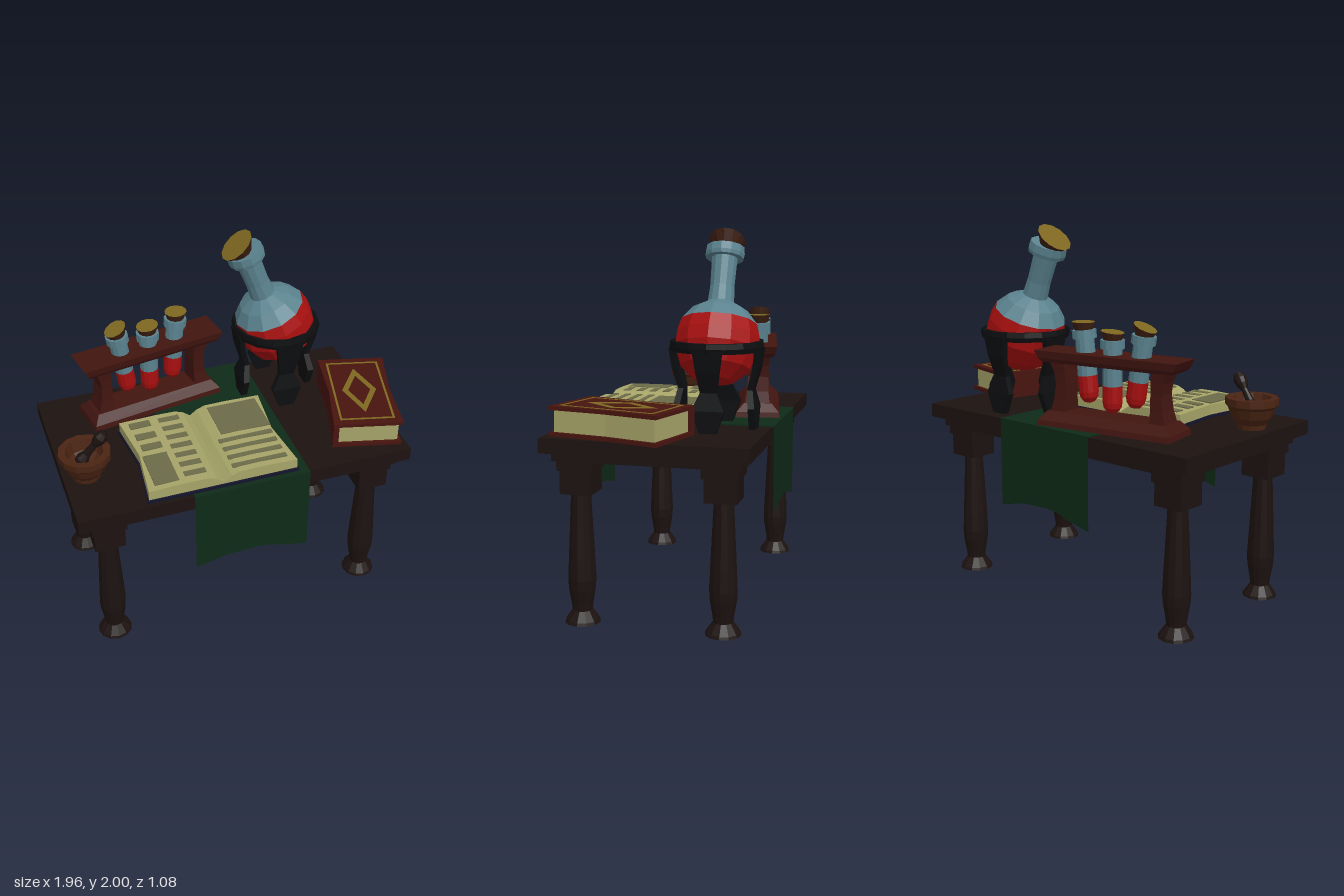
import * as THREE from 'three';

const mat = (color, side = THREE.FrontSide) => new THREE.MeshStandardMaterial({ color, flatShading: true, side });
const wood = mat(0x1c1210), maroon = mat(0x48140f), rackWood = mat(0x421510), iron = mat(0x0d0e10);
const glass = mat(0x5a828e), red = mat(0xa80f0f), page = mat(0xa6a468), ink = mat(0x6b6a48);
const navy = mat(0x14142c), gold = mat(0x7d6720), corkSide = mat(0x3d1f12), clay = mat(0x4a2413);
const cloth = mat(0x0e2a17, THREE.DoubleSide);

function add(parent, name, geo, material, x = 0, y = 0, z = 0) {
  const m = new THREE.Mesh(geo, material);
  m.name = name;
  m.position.set(x, y, z);
  parent.add(m);
  return m;
}

function group(parent, name, x = 0, y = 0, z = 0) {
  const g = new THREE.Group();
  g.name = name;
  g.position.set(x, y, z);
  parent.add(g);
  return g;
}

const lathe = (pts, seg) => new THREE.LatheGeometry(pts.map(([r, y]) => new THREE.Vector2(r, y)), seg);
const box = (w, h, d) => new THREE.BoxGeometry(w, h, d);

// Moves every vertex of a geometry by a rule
function warp(geo, rule) {
  const p = geo.attributes.position, v = new THREE.Vector3();
  for (let i = 0; i < p.count; i++) {
    rule(v.fromBufferAttribute(p, i));
    p.setXYZ(i, v.x, v.y, v.z);
  }
  geo.computeVertexNormals();
  return geo;
}

// Four-sided column through rows of [y, centreX, centreZ, width, depth]
function stack(rows) {
  const n = rows.length - 1;
  return warp(new THREE.BoxGeometry(1, 1, 1, 1, n, 1), v => {
    const [y, cx, cz, w, d] = rows[Math.round((v.y + 0.5) * n)];
    v.set(cx + v.x * w, y, cz + v.z * d);
  });
}

// Slab whose left and right edges are drawn in at the middle
function pinched(w, h, d, pinch) {
  return warp(new THREE.BoxGeometry(w, h, d, 1, 1, 2), v => {
    if (Math.abs(v.z) < 0.01) v.x -= Math.sign(v.x) * pinch;
  });
}

// Flat frame lying in the xz plane, from an outline and a smaller copy
function frame(pts, inner) {
  const vec = list => list.map(([x, y]) => new THREE.Vector2(x, y));
  const s = new THREE.Shape(vec(pts));
  s.holes.push(new THREE.Path(vec(inner)));
  return new THREE.ExtrudeGeometry(s, { depth: 0.004, bevelEnabled: false }).rotateX(-Math.PI / 2);
}

// Stopper with a slanted top
function cork(rTop, rBottom, h, skew) {
  return warp(new THREE.CylinderGeometry(rTop, rBottom, h, 12).translate(0, h / 2, 0), v => {
    if (v.y > h / 2) v.y += skew * v.x;
  });
}

function buildTable(root) {
  const table = group(root, 'table', -0.055);
  add(table, 'tableTop', box(1.83, 0.075, 1.06), wood, 0, 0.943, 0);
  add(table, 'tableApron', box(1.71, 0.05, 0.97), wood, 0, 0.882, 0);
  const legProfile = [[0, 0], [0.093, 0], [0.088, 0.015], [0.052, 0.065], [0.056, 0.1], [0.07, 0.18],
    [0.073, 0.23], [0.068, 0.34], [0.05, 0.7]];
  for (const sx of [-1, 1]) for (const sz of [-1, 1]) {
    const leg = group(table, 'tableLeg', sx * 0.747, 0, sz * 0.37);
    add(leg, 'turnedLeg', lathe(legProfile, 12), wood);
    add(leg, 'legBlock', box(0.165, 0.15, 0.165), wood, 0, 0.76, 0);
    add(leg, 'legCollar', box(0.188, 0.06, 0.188), wood, 0, 0.836, 0);
  }
}

function buildCloth(root) {
  const runner = group(root, 'clothRunner', -0.047);
  add(runner, 'clothTop', box(0.635, 0.007, 1.084), cloth, 0, 0.984, 0);
  const hem = [[-0.3175, 0.49], [-0.15, 0.53], [0.02, 0.537], [0.1, 0.53], [0.16, 0.508], [0.3175, 0.475]];
  for (const s of [1, -1]) {
    const lift = s < 0 ? 0.015 : 0;
    const outline = [...hem.map(([x, y]) => [x, y + lift]), [0.3175, 0.986], [-0.3175, 0.986]];
    const geo = new THREE.ShapeGeometry(new THREE.Shape(outline.map(([x, y]) => new THREE.Vector2(x, y))));
    add(runner, 'clothHang', geo, cloth, 0, 0, s * 0.541).rotation.y = s < 0 ? Math.PI : 0;
  }
}

function buildRack(root) {
  const rack = group(root, 'tubeRack', -0.35, 0, -0.34);
  rack.rotation.y = 0.175;
  add(rack, 'rackPlank', stack([[1.315, 0, 0, 0.76, 0.16], [1.335, 0, 0, 0.79, 0.185], [1.375, 0, 0, 0.83, 0.2]]), rackWood);
  add(rack, 'rackBase', stack([[0.986, 0, 0, 0.78, 0.24], [1.015, 0, 0, 0.77, 0.23], [1.06, 0, 0, 0.7, 0.15]]), rackWood);
  for (const s of [-1, 1]) {
    add(rack, 'rackPost', stack([[1.05, s * 0.295, 0, 0.09, 0.13], [1.12, s * 0.285, 0, 0.07, 0.115],
      [1.2, s * 0.28, 0, 0.06, 0.11], [1.26, s * 0.285, 0, 0.065, 0.115], [1.32, s * 0.3, 0, 0.085, 0.13]]), rackWood);
  }
  // Tubes: x, bottom y, tilt, cork slant
  for (const [x, y, tilt, skew] of [[-0.13, 1.11, 0.14, 0.3], [0.0, 1.07, 0, 0.13], [0.137, 1.11, -0.09, 0.1]]) {
    const tube = group(rack, 'testTube', x, y, 0);
    tube.rotation.z = tilt;
    add(tube, 'tubeLiquid', lathe([[0, 0], [0.028, 0.009], [0.046, 0.032], [0.051, 0.06], [0.051, 0.145]], 12), red);
    add(tube, 'tubeGlass', lathe([[0.051, 0.145], [0.049, 0.335], [0.063, 0.335], [0.063, 0.38], [0, 0.38]], 12), glass);
    add(tube, 'tubeCork', cork(0.061, 0.046, 0.045, skew), [corkSide, gold, corkSide], 0, 0.375, 0);
  }
}

function buildFlask(root) {
  const flask = group(root, 'flask', 0.36, 1.42, -0.257);
  flask.rotation.z = 0.37;
  add(flask, 'flaskLiquid', lathe([[0, -0.222], [0.1, -0.198], [0.18, -0.13], [0.219, -0.03], [0.216, 0.04], [0.198, 0.105]], 12), red);
  add(flask, 'flaskGlass', lathe([[0.198, 0.105], [0.145, 0.172], [0.07, 0.215], [0.064, 0.3], [0.068, 0.455],
    [0.1, 0.455], [0.104, 0.475], [0.1, 0.515], [0, 0.515]], 12), glass);
  add(flask, 'flaskCork', cork(0.095, 0.065, 0.055, 0.36), [corkSide, gold, corkSide], -0.025, 0.508, 0);

  const stand = group(root, 'flaskStand', 0.365, 0, -0.257);
  add(stand, 'standRing', lathe([[0.21, 1.385], [0.236, 1.385], [0.244, 1.41], [0.24, 1.437], [0.21, 1.437], [0.21, 1.385]], 16), iron);
  const rows = [[0.988, 0, 0.195, 0.085, 0.035], [1.1, 0, 0.195, 0.17, 0.035], [1.19, 0, 0.18, 0.085, 0.03],
    [1.3, 0, 0.21, 0.12, 0.03], [1.4, 0, 0.222, 0.15, 0.03]];
  for (let i = 0; i < 4; i++) add(stand, 'standLeg', stack(rows), iron).rotation.y = i * Math.PI / 2;
}

function buildMortar(root) {
  const mortar = group(root, 'mortarAndPestle', -0.845, 0.982, 0.18);
  add(mortar, 'mortarBowl', lathe([[0, 0], [0.075, 0], [0.078, 0.025], [0.105, 0.06], [0.124, 0.11], [0.138, 0.125],
    [0.138, 0.163], [0.1, 0.163], [0.085, 0.1], [0.05, 0.06], [0, 0.055]], 12), clay);
  const pestle = add(mortar, 'pestle', lathe([[0, 0], [0.03, 0.005], [0.036, 0.03], [0.022, 0.07], [0.018, 0.14],
    [0.032, 0.17], [0.037, 0.2], [0.025, 0.23], [0, 0.237]], 10), wood, -0.03, 0.085, -0.01);
  pestle.quaternion.setFromUnitVectors(new THREE.Vector3(0, 1, 0), new THREE.Vector3(0.13, 0.17, 0.03).normalize());
}

function buildOpenBook(root) {
  const book = group(root, 'openBook', -0.193, 0, 0.203);
  add(book, 'openCover', pinched(0.82, 0.016, 0.62, 0.032), navy, 0, 0.996, 0);
  // Page blocks dip towards the spine
  for (const s of [-1, 1]) {
    const pts = [[0, 1.003], [0.402, 1.003], [0.402, 1.058], [0.2, 1.064], [0.085, 1.062], [0.04, 1.045], [0, 1.015]];
    const shape = new THREE.Shape(pts.map(([x, y]) => new THREE.Vector2(s * x, y)));
    const geo = new THREE.ExtrudeGeometry(shape, { depth: 0.6, steps: 2, bevelEnabled: false }).translate(0, 0, -0.3);
    add(book, 'pageBlock', warp(geo, v => { if (Math.abs(v.z) < 0.01) v.x *= 0.92; }), page);
  }
  // Grey blocks on the pages: centre x, centre z, width, depth
  const blocks = [[-0.3, -0.243, 0.115, 0.05], [-0.295, -0.14, 0.11, 0.05], [-0.29, -0.045, 0.11, 0.05],
    [-0.295, 0.145, 0.13, 0.24], [0.23, -0.145, 0.28, 0.25]];
  for (let i = 0; i < 7; i++) blocks.push([-0.137, -0.245 + i * 0.079, 0.115, 0.038]);
  for (let i = 0; i < 4; i++) blocks.push([0.21, 0.033 + i * 0.071, 0.3, 0.03]);
  for (const [x, z, w, d] of blocks) add(book, 'pageMark', box(w, 0.006, d), ink, x, 1.0625, z);
}

function buildClosedBook(root) {
  const book = group(root, 'closedBook', 0.718, 0, 0.142);
  book.rotation.y = -0.256;
  for (const y of [0.997, 1.128]) add(book, 'cover', pinched(0.375, 0.02, 0.614, 0.018), maroon, 0, y, 0);
  add(book, 'pages', pinched(0.335, 0.115, 0.575, 0.018), page, 0, 1.062, 0);
  add(book, 'spine', warp(new THREE.BoxGeometry(0.03, 0.13, 0.614, 1, 1, 2), v => {
    if (Math.abs(v.z) < 0.01) v.x += 0.018;
  }), maroon, -0.172, 1.062, 0);
  const rect = (w, d) => [[-w, -d], [w, -d], [w, d], [-w, d]];
  const diamond = (w, d) => [[-w, 0], [0, -d], [w, 0], [0, d]];
  add(book, 'coverBorder', frame(rect(0.148, 0.268), rect(0.136, 0.256)), gold, 0, 1.136, 0);
  add(book, 'coverDiamond', frame(diamond(0.095, 0.205), diamond(0.062, 0.135)), gold, 0, 1.136, 0);
}

export function createModel() {
  const root = new THREE.Group();
  root.name = 'potionTable';
  buildTable(root);
  buildCloth(root);
  buildRack(root);
  buildFlask(root);
  buildMortar(root);
  buildOpenBook(root);
  buildClosedBook(root);
  return root;
}
